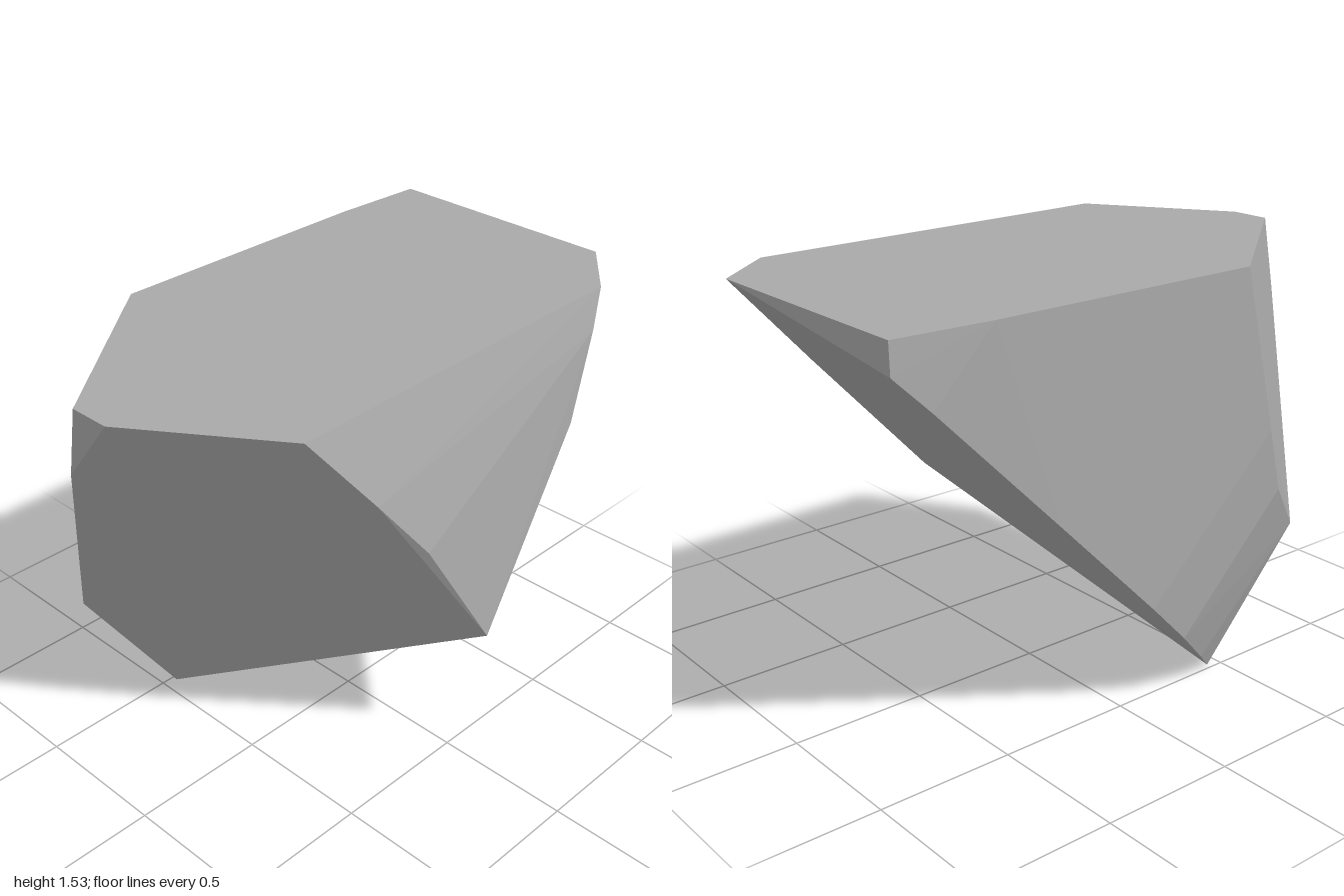
import * as THREE from 'three';
import { ConvexGeometry } from 'three/addons/geometries/ConvexGeometry.js';

export function createModel() {
  const stone = new THREE.MeshStandardMaterial({ color: 0xa8a8a8 });
  stone.name = 'grey stone';
  const TOP = 1.53;

  // flat top outline as [x, z]
  const topOutline = [
    [-0.63, -1], [0.26, -1], [0.45, -0.77], [0.48, 0.67],
    [0, 1], [-0.15, 1], [-0.65, 0.38], [-0.65, -0.65],
  ].map(([x, z]) => [x, TOP, z]);

  // rim of the sloping front face
  const frontRim = [
    [-0.2, 1.28, 1], [-0.55, 0.5, 0.78], [-0.48, 0, 0.45],
    [0.65, 0.57, 0], [0.62, 1.03, 0.28], [0.57, 1.26, 0.46],
  ];

  // rounded right-hand edge (-x), from the front corner down and under
  const sideRim = [
    [-0.63, 0.7, 0.61], [-0.65, 0.94, 0.53],
    [-0.55, 0.1, 0.34], [-0.63, 0.26, 0.17], [-0.65, 0.43, 0],
  ];

  // rim of the sloping underside towards the back
  const backRim = [
    [-0.65, 0.83, -0.4], [-0.645, 1.3, -0.87], [-0.635, 1.425, -1],
    [0.53, 1.12, -0.55], [0.49, 1.41, -0.69],
  ];

  // faceted boulder wrapped around all the rims
  const corners = [...topOutline, ...frontRim, ...sideRim, ...backRim]
    .map((p) => new THREE.Vector3(...p));
  const rock = new THREE.Mesh(new ConvexGeometry(corners), stone);
  rock.name = 'rock';

  const group = new THREE.Group();
  group.name = 'boulder';
  group.add(rock);
  return group;
}
